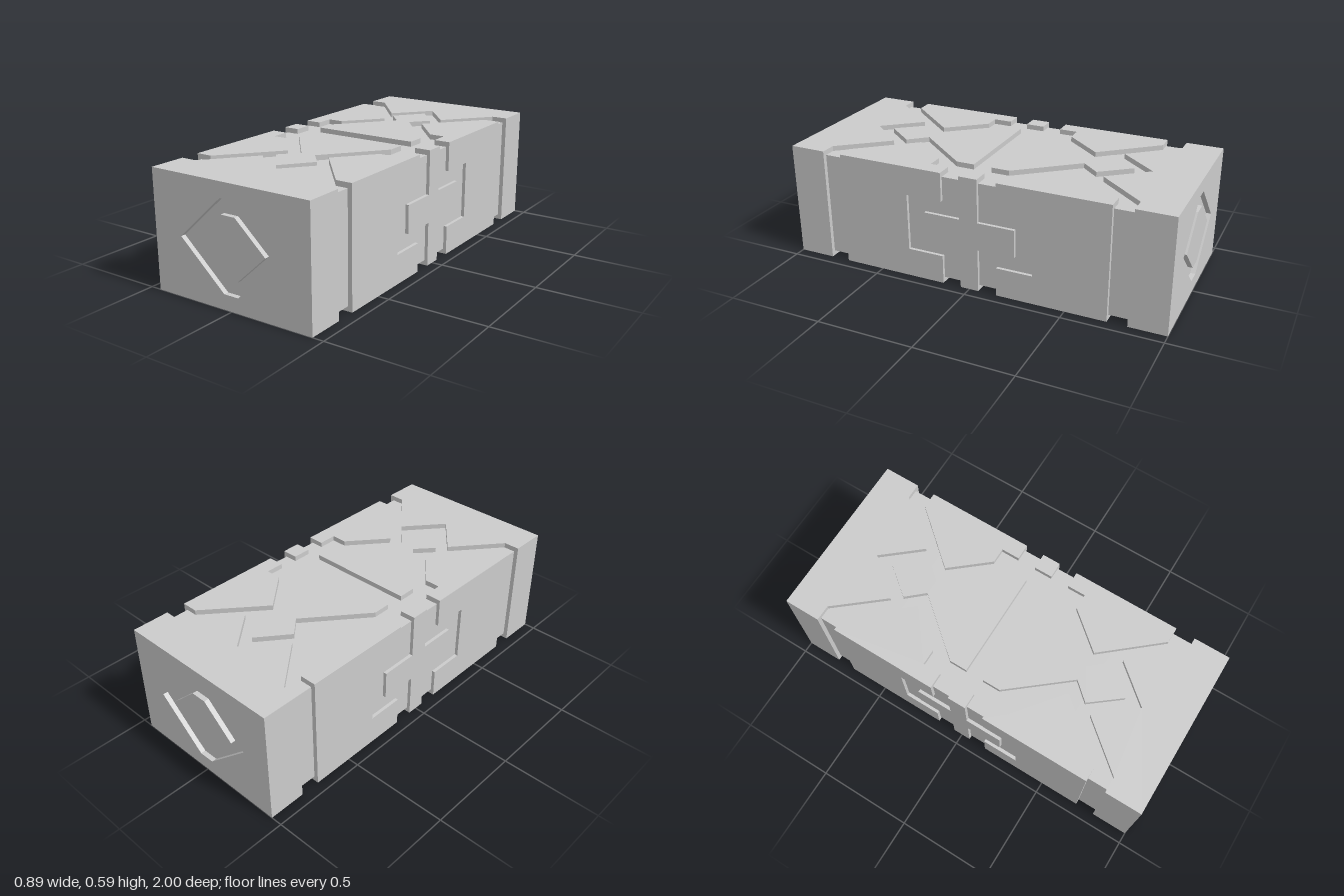
import * as THREE from 'three';

const W = 0.443, H = 0.594, L = 1;          // half width, height, half length
const DT = 0.026, DS = 0.022, DE = 0.025;   // groove depth: top/bottom, sides, ends
const T = 0.048, G = 0.145;                 // inner and outer z of the middle grooves

export function createModel() {
  const group = new THREE.Group();
  const material = new THREE.MeshStandardMaterial({ color: 0xcccccc });

  const add = (name, geometry, x = 0, y = 0, z = 0) => {
    const mesh = new THREE.Mesh(geometry, material);
    mesh.name = name;
    mesh.position.set(x, y, z);
    group.add(mesh);
  };
  const toShape = (pts) => new THREE.Shape(pts.map(([a, b]) => new THREE.Vector2(a, b)));
  const extrude = (shape, depth) =>
    new THREE.ExtrudeGeometry(shape, { depth, bevelEnabled: false });
  const flip = (pts, a, b) => pts.map(([u, v]) => [u * a, v * b]);

  // Core block: its surface forms the groove floors
  const box = (name, hw, z0, z1) => add(name,
    new THREE.BoxGeometry(hw * 2, H - DT * 2, z1 - z0), 0, H / 2, (z0 + z1) / 2);
  box('coreMiddle', W - 0.017, -0.5, 0.5);
  box('coreFront', W - DS, 0.5, L - DE);
  box('coreBack', W - DS, -(L - DE), -0.5);

  // Raised plates on the top and bottom, drawn in x and z
  const topPlate = (name, pts) => {
    for (const [side, y] of [['top', H], ['bottom', DT]]) {
      add(side + name, extrude(toShape(pts), DT).rotateX(Math.PI / 2), 0, y, 0);
    }
  };
  const endPlate = [[W, L], [W, 0.81], [0.36, 0.81], [0.16, 0.57], [0, 0.76],
    [-0.16, 0.57], [-0.36, 0.81], [-W, 0.81], [-W, L]];
  const centrePlate = [[0, 0.67], [0.12, 0.52], [0.04, 0.43], [0.28, 0.14], [0.28, T],
    [-0.28, T], [-0.28, 0.14], [-0.04, 0.43], [-0.12, 0.52]];
  const flankPlate = [[W, 0.71], [0.36, 0.71], [0.12, 0.43], [0.28, 0.24], [0.36, 0.24],
    [0.36, G], [W, G]];
  const tab = [[W, T], [0.36, T], [0.36, -T], [W, -T]];
  for (const s of [1, -1]) {
    topPlate('EndPlate', flip(endPlate, 1, s));
    topPlate('CentrePlate', flip(centrePlate, 1, s));
    topPlate('Tab', flip(tab, s, 1));
    for (const sx of [1, -1]) topPlate('FlankPlate', flip(flankPlate, sx, s));
  }

  // Raised plates on the long sides, drawn in z and y
  const y0 = DT, y1 = H - DT;
  const sidePlate = (name, pts) => {
    for (const [side, x] of [['left', W - DS], ['right', -W]]) {
      add(side + name, extrude(toShape(pts), DS).rotateY(Math.PI / 2), x, 0, 0);
    }
  };
  const corner = [[0.81, y0], [L, y0], [L, y1], [0.81, y1]];
  const notched = [[0.71, y0], [0.71, y1], [G, y1], [G, 0.445], [0.335, 0.445],
    [0.335, 0.15], [G, 0.15], [G, y0]];
  for (const s of [1, -1]) {
    sidePlate('EndPlate', flip(corner, s, 1));
    sidePlate('NotchedPlate', flip(notched, s, 1));
  }
  sidePlate('Cross', [[T, y0], [T, 0.225], [0.24, 0.225], [0.24, 0.37], [T, 0.37], [T, y1],
    [-T, y1], [-T, 0.37], [-0.24, 0.37], [-0.24, 0.225], [-T, 0.225], [-T, y0]]);

  // Ends: a frame with a hexagonal opening around a raised hexagon
  const hexagon = (w, h) => [[w, 0], [0.04, h], [-0.04, h], [-w, 0], [-0.04, -h], [0.04, -h]]
    .map(([x, y]) => [x, y + H / 2]);
  const ex = W - DS;
  for (const [side, z] of [['front', L - DE], ['back', -L]]) {
    const frame = toShape([[-ex, y0], [ex, y0], [ex, y1], [-ex, y1]]);
    frame.holes.push(toShape(hexagon(0.285, 0.222)));
    add(side + 'Frame', extrude(frame, DE), 0, 0, z);
    add(side + 'Hexagon', extrude(toShape(hexagon(0.202, 0.148)), DE), 0, 0, z);
  }

  return group;
}
